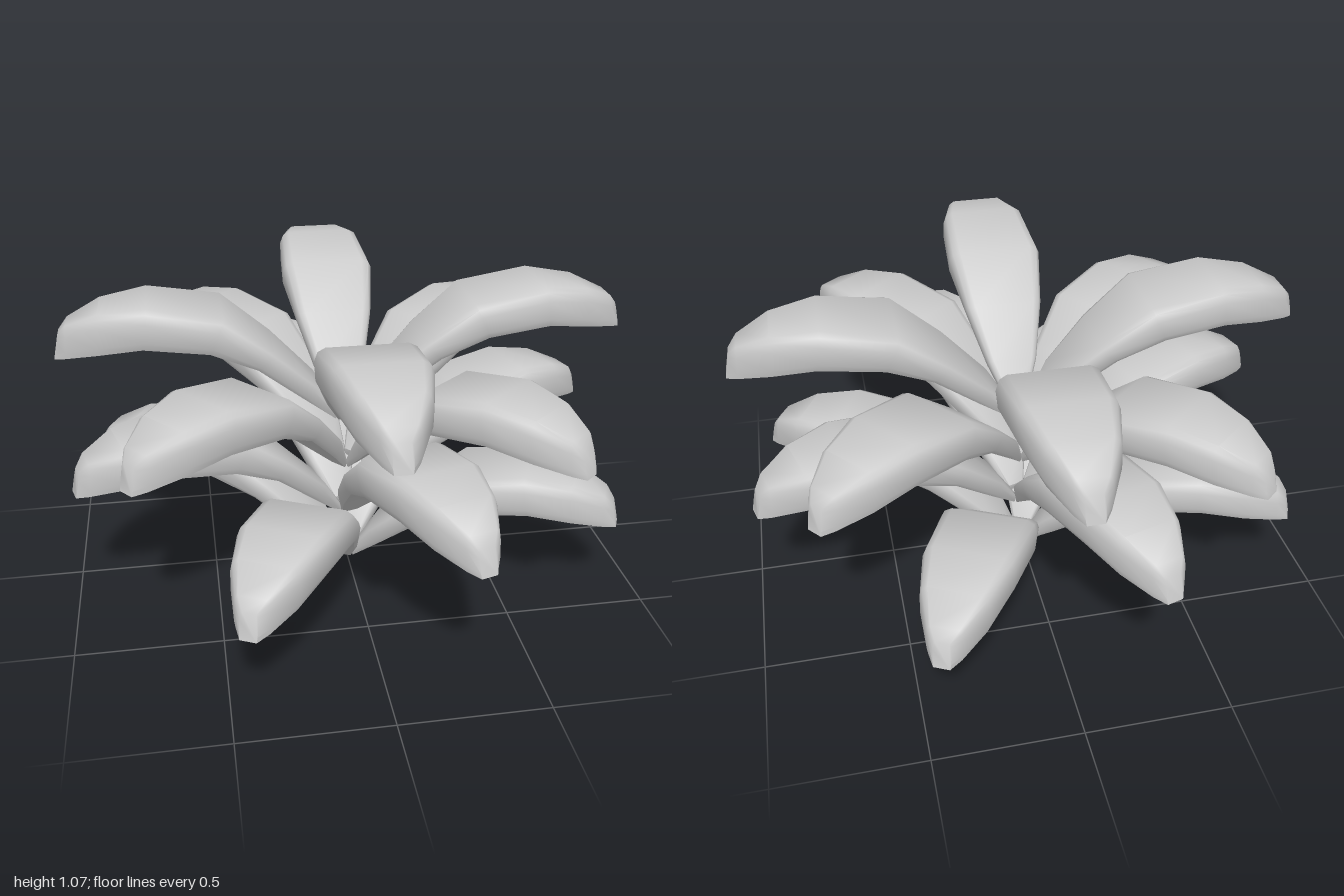
import * as THREE from 'three';
import { toCreasedNormals } from 'three/addons/utils/BufferGeometryUtils.js';

// Stations along a leaf: underside (r, y), upper side (r, y), half width
const STATIONS = [
  [0.04, 0.0, 0.03, 0.03, 0.035],
  [0.16, 0.11, 0.11, 0.155, 0.09],
  [0.32, 0.25, 0.26, 0.305, 0.14],
  [0.48, 0.33, 0.43, 0.445, 0.17],
  [0.70, 0.355, 0.68, 0.49, 0.155],
  [0.85, 0.33, 0.84, 0.468, 0.115],
  [0.96, 0.305, 0.95, 0.42, 0.06],
  [1.0, 0.295, 0.98, 0.385, 0.03],
];

// Half of the cross-section: inset from the side edge (as a share of width), height share
const HALF = [[0.08, 0], [0, 0.2], [0, 0.68], [0.07, 0.9], [0.22, 1]];
const SECTION = [
  ...HALF.map(([inset, v]) => [inset - 1, v]),
  ...[...HALF].reverse().map(([inset, v]) => [1 - inset, v]),
];

// Thick arching leaf pointing along +x
function leafGeometry() {
  const n = SECTION.length, pos = [], index = [];
  for (const [rb, yb, rt, yt, w] of STATIONS) {
    for (const [u, v] of SECTION) {
      pos.push(rb + (rt - rb) * v, yb + (yt - yb) * v, u * w);
    }
  }
  const last = (STATIONS.length - 1) * n;
  for (let i = 0; i < last; i += n) {
    for (let j = 0; j < n; j++) {
      const k = (j + 1) % n;
      index.push(i + j, i + k, i + n + k, i + j, i + n + k, i + n + j);
    }
  }
  // End caps
  for (let j = 1; j < n - 1; j++) {
    index.push(0, j + 1, j, last, last + j, last + j + 1);
  }
  const geo = new THREE.BufferGeometry();
  geo.setAttribute('position', new THREE.Float32BufferAttribute(pos, 3));
  geo.setIndex(index);
  return toCreasedNormals(geo, 0.85);
}

export function createModel() {
  const plant = new THREE.Group();
  plant.name = 'leafyPlant';
  const material = new THREE.MeshStandardMaterial({ color: 0xcccccc });
  const leaf = leafGeometry();

  // Four stacked whorls of four leaves, each turned against the one below
  const whorls = [[0, 26], [0.195, -16], [0.39, 50], [0.583, 0]];
  whorls.forEach(([y, degrees], tier) => {
    const whorl = new THREE.Group();
    whorl.name = `leafWhorl${tier + 1}`;
    whorl.position.y = y;
    whorl.rotation.y = -THREE.MathUtils.degToRad(degrees);
    for (let i = 0; i < 4; i++) {
      const mesh = new THREE.Mesh(leaf, material);
      mesh.name = 'leaf';
      mesh.rotation.y = i * Math.PI / 2;
      whorl.add(mesh);
    }
    plant.add(whorl);
  });
  return plant;
}
